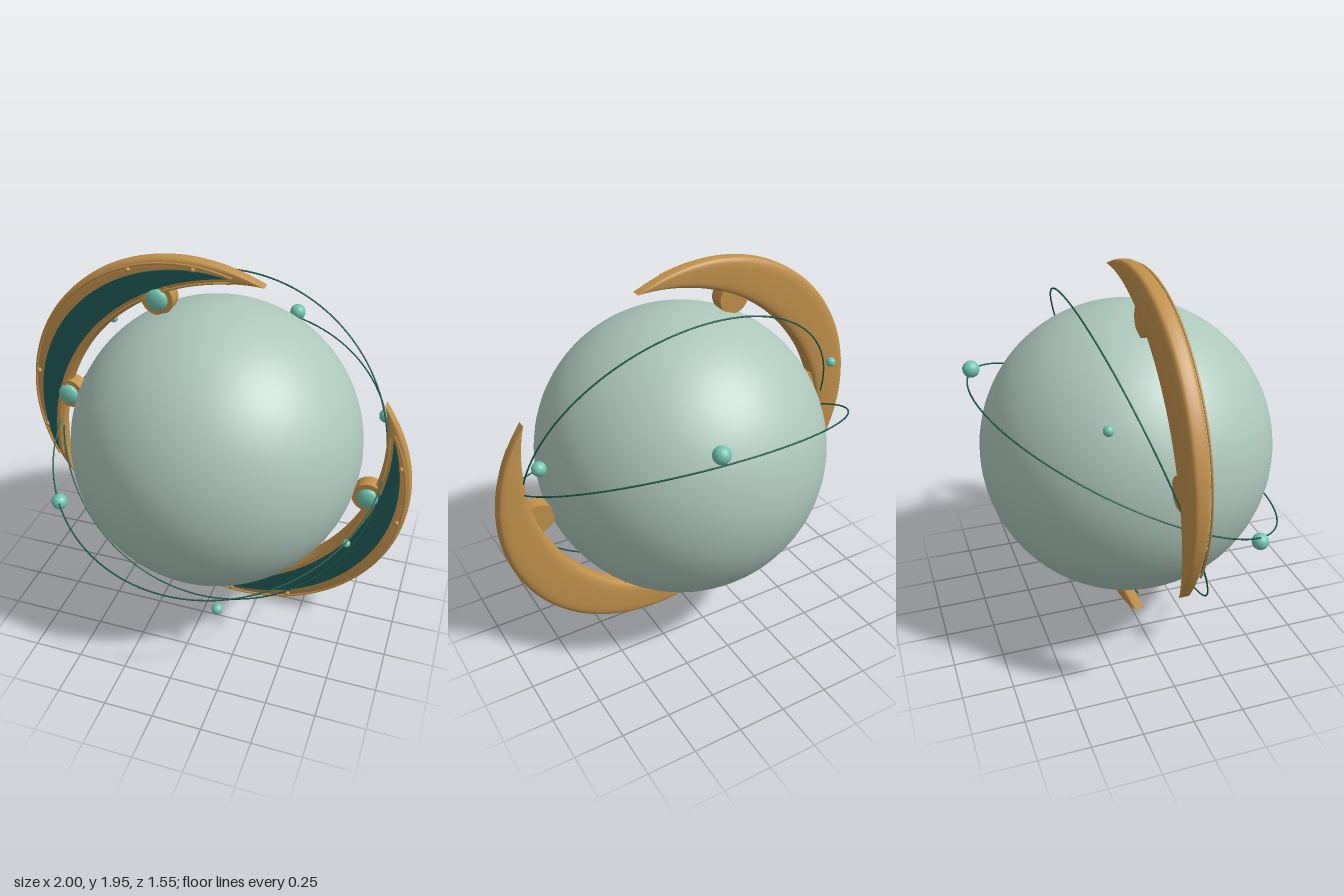
import * as THREE from 'three';

const CENTER_Y = 0.98;
const mat = (name, color) => {
  const m = new THREE.MeshStandardMaterial({ color });
  m.name = name;
  return m;
};

export function createModel() {
  const model = new THREE.Group();
  model.name = 'orbWithCrescents';
  const sage = mat('sage', 0xadc7bb);
  const gold = mat('gold', 0xc1914c);
  const teal = mat('darkTeal', 0x1f5a56);
  const jade = mat('jade', 0x72c4b0);
  const green = mat('ringGreen', 0x1a5c49);

  const add = (parent, name, geo, material, x = 0, y = 0, z = 0) => {
    const mesh = new THREE.Mesh(geo, material);
    mesh.name = name;
    mesh.position.set(x, y, z);
    parent.add(mesh);
    return mesh;
  };

  // Everything is placed around the centre of the orb
  const core = new THREE.Group();
  core.name = 'core';
  core.position.y = CENTER_Y;
  model.add(core);
  add(core, 'orb', new THREE.SphereGeometry(0.74, 64, 48), sage);

  // Two tilted orbit rings
  for (const tilt of [0.469, 1.216]) {
    const ring = add(core, 'orbitRing', new THREE.TorusGeometry(0.863, 0.004, 8, 128), green);
    ring.rotation.x = Math.PI / 2 + tilt;
  }

  // Small orbiting beads: x, y, z, radius
  const beads = [
    [0.22, 0.42, -0.725, 0.042], [0.82, 0.22, -0.15, 0.035], [0.76, -0.2, 0.355, 0.019],
    [0.16, -0.695, 0.48, 0.029], [-0.7, -0.25, 0.435, 0.041], [-0.68, 0.44, -0.305, 0.024],
  ];
  for (const [x, y, z, r] of beads) {
    add(core, 'bead', new THREE.SphereGeometry(r, 24, 16), jade, x, y, z);
  }

  // Crescents: the same frame twice, half a turn apart
  for (const turn of [0, Math.PI]) {
    const crescent = new THREE.Group();
    crescent.name = turn ? 'lowerCrescent' : 'upperCrescent';
    crescent.rotation.z = 2.442 + turn;
    core.add(crescent);

    add(crescent, 'crescentBody', crescentBody(), gold);
    add(crescent, 'crescentInlay', inlay(), teal, 0, 0, 0.046);

    // Raised rim wires along both edges
    for (const [u, r, half] of [[0.205, 0.822, 1.17], [-0.23, 1.048, 0.78]]) {
      const rim = add(crescent, 'rimWire', new THREE.TorusGeometry(r, 0.006, 8, 72, half * 2), gold, u, 0, 0.05);
      rim.rotation.z = -half;
    }

    // Rivets on the outer border
    for (const a of [-0.94, -0.535, 0.535, 0.94]) {
      add(crescent, 'rivet', new THREE.SphereGeometry(0.013, 12, 8), gold,
        0.205 + 0.808 * Math.cos(a), 0.808 * Math.sin(a), 0.05);
    }

    // Gem mounts on the inner edge
    for (const v of [-0.4, 0.4]) {
      const mount = add(crescent, 'gemMount', new THREE.CylinderGeometry(0.08, 0.08, 0.075, 32), gold, 0.707, v, 0.008);
      mount.rotation.x = Math.PI / 2;
      const gem = add(crescent, 'gem', new THREE.SphereGeometry(0.055, 24, 16), jade, 0.707, v, 0.048);
      gem.scale.z = 0.5;
    }
  }
  return model;
}

// Rounded cross-sections swept between an outer and an inner arc
function crescentBody() {
  const N = 72, M = 32, pos = [], idx = [];
  const soft = (c) => Math.sign(c) * Math.sqrt(Math.abs(c));
  for (let i = 0; i <= N; i++) {
    const t = (i / N) * 2 - 1;
    const ou = 0.205 + 0.8435 * Math.cos(t * 1.349), ov = 0.8435 * Math.sin(t * 1.349);
    const iu = -0.23 + 1.0304 * Math.cos(t * 0.9254), iv = 1.0304 * Math.sin(t * 0.9254);
    const h = 0.05 * (1 - 0.5 * t * t);
    for (let j = 0; j < M; j++) {
      const p = (j / M) * Math.PI * 2, c = soft(Math.cos(p)) / 2, s = soft(Math.sin(p));
      pos.push((ou + iu) / 2 + (ou - iu) * c, (ov + iv) / 2 + (ov - iv) * c, h * s);
      if (i < N) {
        const k = (j + 1) % M, a = i * M + j, b = a + M, d = i * M + k;
        idx.push(a, b, d, b, d + M, d);
      }
    }
  }
  const geo = new THREE.BufferGeometry();
  geo.setAttribute('position', new THREE.Float32BufferAttribute(pos, 3));
  geo.setIndex(idx);
  geo.computeVertexNormals();
  return geo;
}

// Thin crescent plate on the front face
function inlay() {
  const shape = new THREE.Shape();
  const a = Math.atan2(0.74, 0.412), b = Math.atan2(0.74, 0.763);
  shape.absarc(0.128, 0, 0.847, -a, a, false);
  shape.absarc(-0.223, 0, 1.063, b, -b, true);
  return new THREE.ExtrudeGeometry(shape, { depth: 0.008, bevelEnabled: false, curveSegments: 48 });
}
